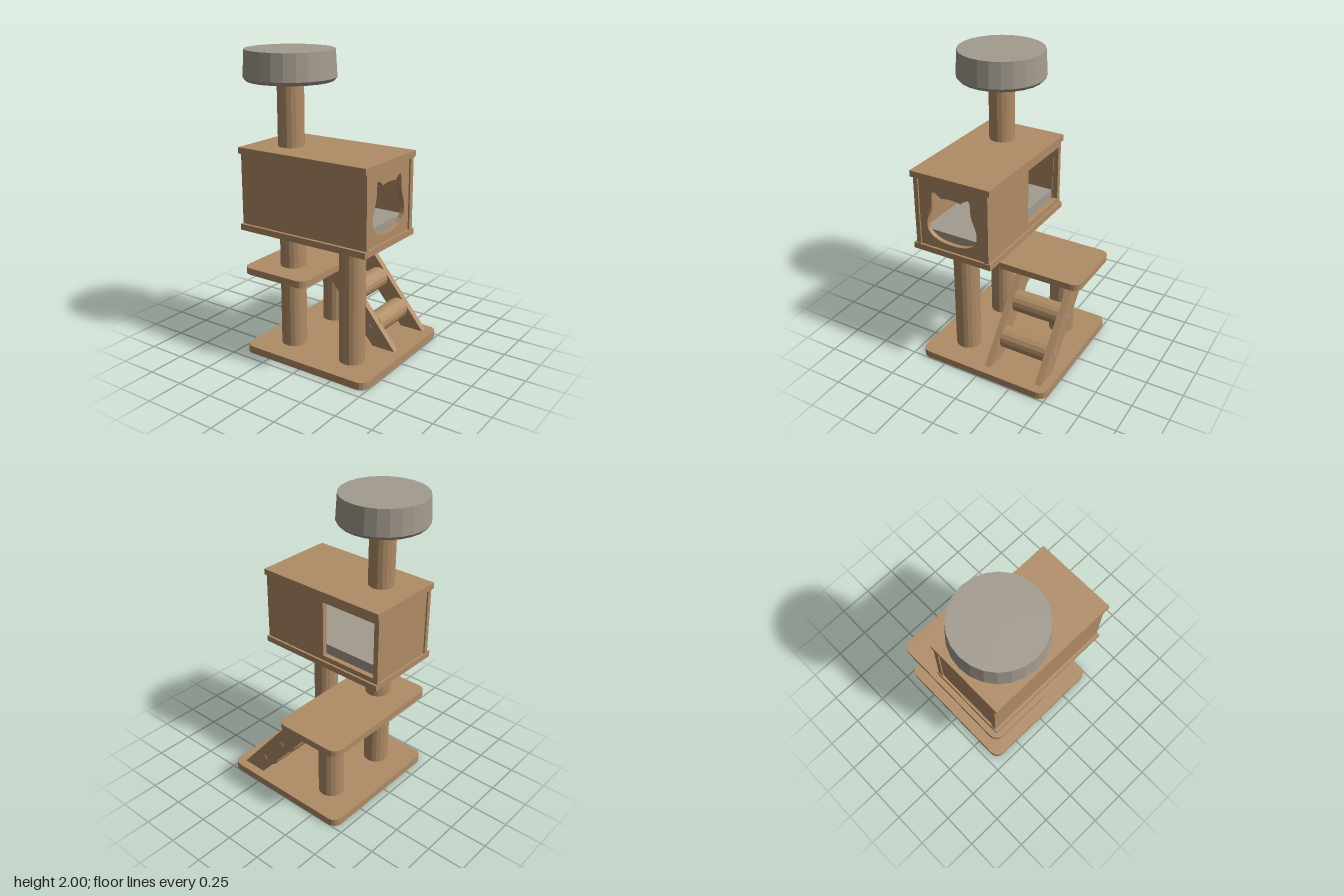
import * as THREE from 'three';

export function createModel() {
  const model = new THREE.Group();
  const wood = new THREE.MeshStandardMaterial({ name: 'wood', color: 0xb08c66, flatShading: true });
  const grey = new THREE.MeshStandardMaterial({ name: 'grey fabric', color: 0xa39b8f, flatShading: true });

  const add = (name, geometry, material, x = 0, y = 0, z = 0) => {
    const mesh = new THREE.Mesh(geometry, material);
    mesh.name = name;
    mesh.position.set(x, y, z);
    model.add(mesh);
    return mesh;
  };

  // Box given by its limits
  const box = (name, material, x0, x1, y0, y1, z0, z1) =>
    add(name, new THREE.BoxGeometry(x1 - x0, y1 - y0, z1 - z0), material,
      (x0 + x1) / 2, (y0 + y1) / 2, (z0 + z1) / 2);

  // Flat board with clipped round corners
  const board = (name, x0, x1, y0, y1, z0, z1, r = 0.06) => {
    const w = (x1 - x0) / 2, d = (z1 - z0) / 2;
    const s = new THREE.Shape();
    s.moveTo(-w + r, -d);
    s.lineTo(w - r, -d);
    s.absarc(w - r, -d + r, r, -Math.PI / 2, 0);
    s.lineTo(w, d - r);
    s.absarc(w - r, d - r, r, 0, Math.PI / 2);
    s.lineTo(-w + r, d);
    s.absarc(-w + r, d - r, r, Math.PI / 2, Math.PI);
    s.lineTo(-w, -d + r);
    s.absarc(-w + r, -d + r, r, Math.PI, Math.PI * 1.5);
    const g = new THREE.ExtrudeGeometry(s, { depth: y1 - y0, bevelEnabled: false, curveSegments: 2 });
    g.rotateX(-Math.PI / 2);
    add(name, g, wood, (x0 + x1) / 2, y0, (z0 + z1) / 2);
  };

  const post = (name, x, z, y0, y1) =>
    add(name, new THREE.CylinderGeometry(0.085, 0.085, y1 - y0, 18), wood, x, (y0 + y1) / 2, z);

  // Base and step platform
  board('base', -0.45, 0.495, 0, 0.05, -0.5, 0.44);
  board('stepPlatform', -0.45, 0.04, 0.56, 0.605, -0.5, 0.435);

  // Posts
  post('mainPostLower', -0.21, 0.21, 0.05, 0.86);
  post('mainPostUpper', -0.21, 0.21, 1.4, 1.815);
  post('sidePost', 0.255, 0.21, 0.05, 0.86);
  post('platformPost', -0.21, -0.265, 0.05, 0.56);

  // House floor, roof and long walls
  box('houseFloor', wood, -0.45, 0.495, 0.86, 0.9, -0.12, 0.44);
  box('houseRoof', wood, -0.45, 0.495, 1.36, 1.4, -0.12, 0.44);
  box('houseFrontWall', wood, -0.445, 0.49, 0.9, 1.36, 0.39, 0.42);

  const rectangle = (x0, x1, y0, y1, Type) => {
    const p = new Type();
    p.moveTo(x0, y0);
    p.lineTo(x1, y0);
    p.lineTo(x1, y1);
    p.lineTo(x0, y1);
    p.closePath();
    return p;
  };

  // Back wall with a window
  const back = rectangle(-0.445, 0.49, 0.9, 1.36, THREE.Shape);
  back.holes.push(rectangle(-0.41, 0, 0.935, 1.32, THREE.Path));
  add('houseBackWall', new THREE.ExtrudeGeometry(back, { depth: 0.035, bevelEnabled: false }), wood, 0, 0, -0.105);

  // Entrance panel with an eared opening; shape x runs along z
  const panel = rectangle(-0.07, 0.39, 0.9, 1.36, THREE.Shape);
  const c = 0.16;
  const hole = new THREE.Path();
  hole.moveTo(c, 0.946);
  hole.bezierCurveTo(c + 0.1, 0.946, c + 0.18, 0.975, c + 0.18, 1.05);
  hole.bezierCurveTo(c + 0.18, 1.12, c + 0.14, 1.15, c + 0.138, 1.22);
  hole.quadraticCurveTo(c + 0.138, 1.29, c + 0.125, 1.288);
  hole.quadraticCurveTo(c + 0.11, 1.288, c + 0.07, 1.255);
  hole.quadraticCurveTo(c, 1.272, c - 0.07, 1.255);
  hole.quadraticCurveTo(c - 0.11, 1.288, c - 0.125, 1.288);
  hole.quadraticCurveTo(c - 0.138, 1.29, c - 0.138, 1.22);
  hole.bezierCurveTo(c - 0.14, 1.15, c - 0.18, 1.12, c - 0.18, 1.05);
  hole.bezierCurveTo(c - 0.18, 0.975, c - 0.1, 0.946, c, 0.946);
  panel.holes.push(hole);
  const panelGeometry = new THREE.ExtrudeGeometry(panel, { depth: 0.03, bevelEnabled: false, curveSegments: 6 });
  panelGeometry.rotateY(-Math.PI / 2);
  add('entrancePanel', panelGeometry, wood, 0.48, 0, 0);
  box('closedSidePanel', wood, -0.435, -0.405, 0.9, 1.36, -0.07, 0.39);

  // House cushion and the patch of it showing under the floor
  box('houseCushion', grey, -0.4, 0.445, 0.9, 1.0, -0.065, 0.385);
  add('floorPatch', new THREE.CylinderGeometry(0.235, 0.235, 0.006, 24), grey, 0.15, 0.858, 0.14);

  // Round bed on top
  const bedProfile = [[0, 1.81], [0.272, 1.81], [0.29, 1.832], [0.28, 2], [0, 2]]
    .map(([r, y]) => new THREE.Vector2(r, y));
  add('topBed', new THREE.LatheGeometry(bedProfile, 24), grey, -0.21, 0, 0.21);

  // Ladder: two slanted side rails
  const rail = new THREE.Shape();
  rail.moveTo(0.26, 0.05);
  rail.lineTo(0.43, 0.05);
  rail.lineTo(0.01, 0.56);
  rail.lineTo(-0.17, 0.56);
  rail.closePath();
  for (const z of [-0.069, -0.443]) {
    add('ladderRail', new THREE.ExtrudeGeometry(rail, { depth: 0.043, bevelEnabled: false }), wood, 0, 0, z);
  }

  // Rungs with a screw cap at each end
  for (const [x, y] of [[0.07, 0.373], [0.234, 0.18]]) {
    const rung = new THREE.CylinderGeometry(0.074, 0.074, 0.332, 16);
    rung.rotateX(Math.PI / 2);
    add('ladderRung', rung, wood, x, y, -0.235);
    for (const z of [-0.026, -0.443]) {
      const cap = new THREE.CylinderGeometry(0.021, 0.021, 0.006, 12);
      cap.rotateX(Math.PI / 2);
      add('screwCap', cap, grey, x, y, z);
    }
  }

  return model;
}
